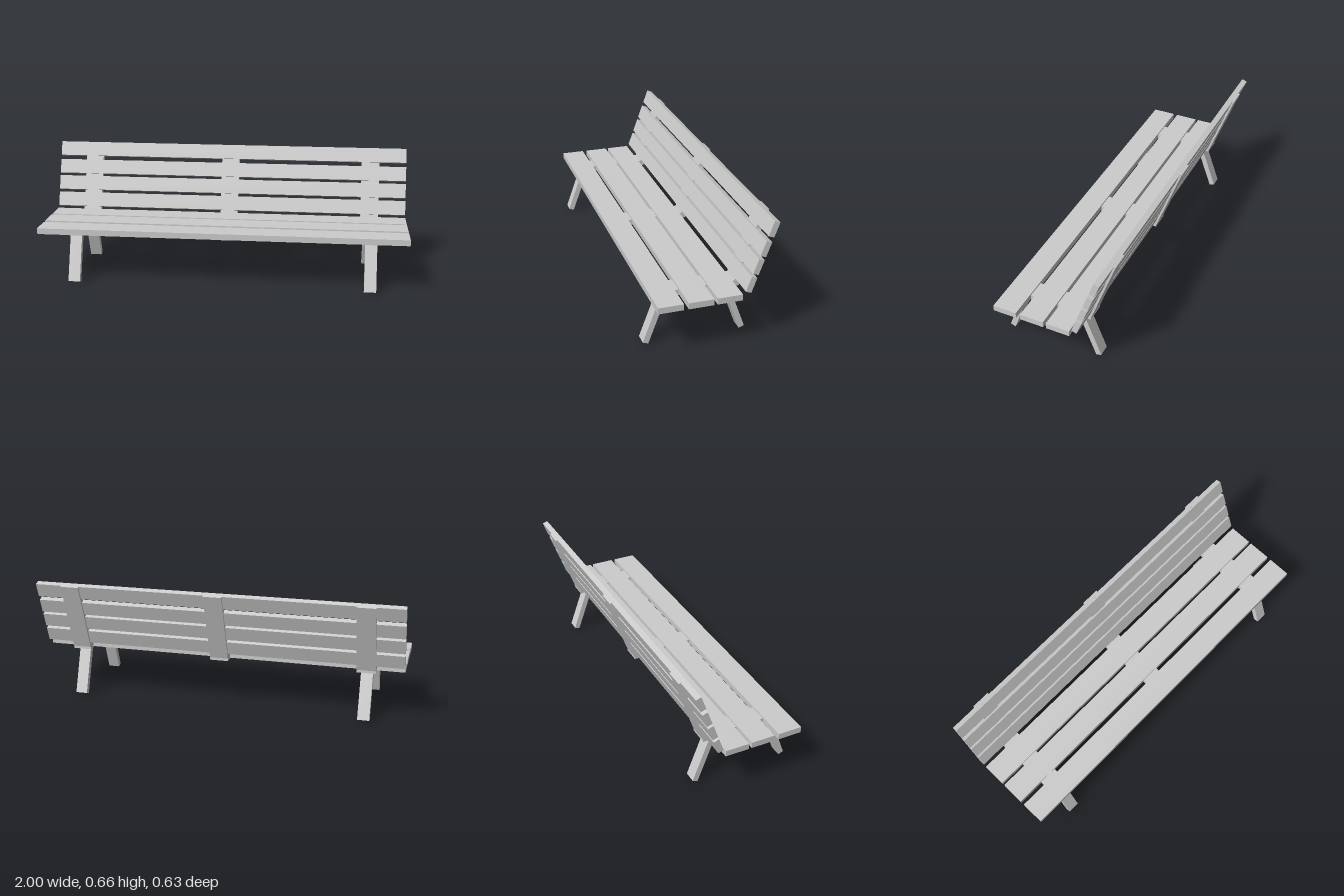
import * as THREE from 'three';

const TILT = THREE.MathUtils.degToRad(20);
const material = new THREE.MeshStandardMaterial({ color: 0xcccccc, flatShading: true });

// One plank: size, centre and tilt about the x axis
function plank(parent, name, [w, h, d], [x, y, z], tilt = 0) {
  const mesh = new THREE.Mesh(new THREE.BoxGeometry(w, h, d), material);
  mesh.name = name;
  mesh.position.set(x, y, z);
  mesh.rotation.x = tilt;
  parent.add(mesh);
}

export function createModel() {
  const bench = new THREE.Group();
  bench.name = 'bench';

  // Seat slats, front to back
  for (const z of [0.227, 0.075, -0.069]) {
    plank(bench, 'seatSlat', [2, 0.032, 0.128], [0, 0.282, z]);
  }

  // Backrest slats, bottom to top
  for (const [y, z] of [[0.343, -0.174], [0.434, -0.207], [0.524, -0.24], [0.622, -0.276]]) {
    plank(bench, 'backSlat', [2, 0.08, 0.03], [0, y, z], -TILT);
  }

  // Bearers under the seat and behind the backrest
  for (const x of [-0.8, 0, 0.8]) {
    plank(bench, 'seatBearer', [0.1, 0.03, 0.45], [x, 0.275, 0.05]);
    plank(bench, 'backBearer', [0.1, 0.401, 0.03], [x, 0.468, -0.231], -TILT);
  }

  // Splayed legs, running up into the outer bearers
  const length = 0.279;
  const rise = 0.005 + (length / 2) * Math.cos(TILT);
  const lean = (length / 2) * Math.sin(TILT);
  for (const x of [-0.8, 0.8]) {
    plank(bench, 'frontLeg', [0.064, length, 0.03], [x, rise, 0.301 - lean], -TILT);
    plank(bench, 'backLeg', [0.064, length, 0.03], [x, rise, -0.204 + lean], TILT);
  }

  return bench;
}
